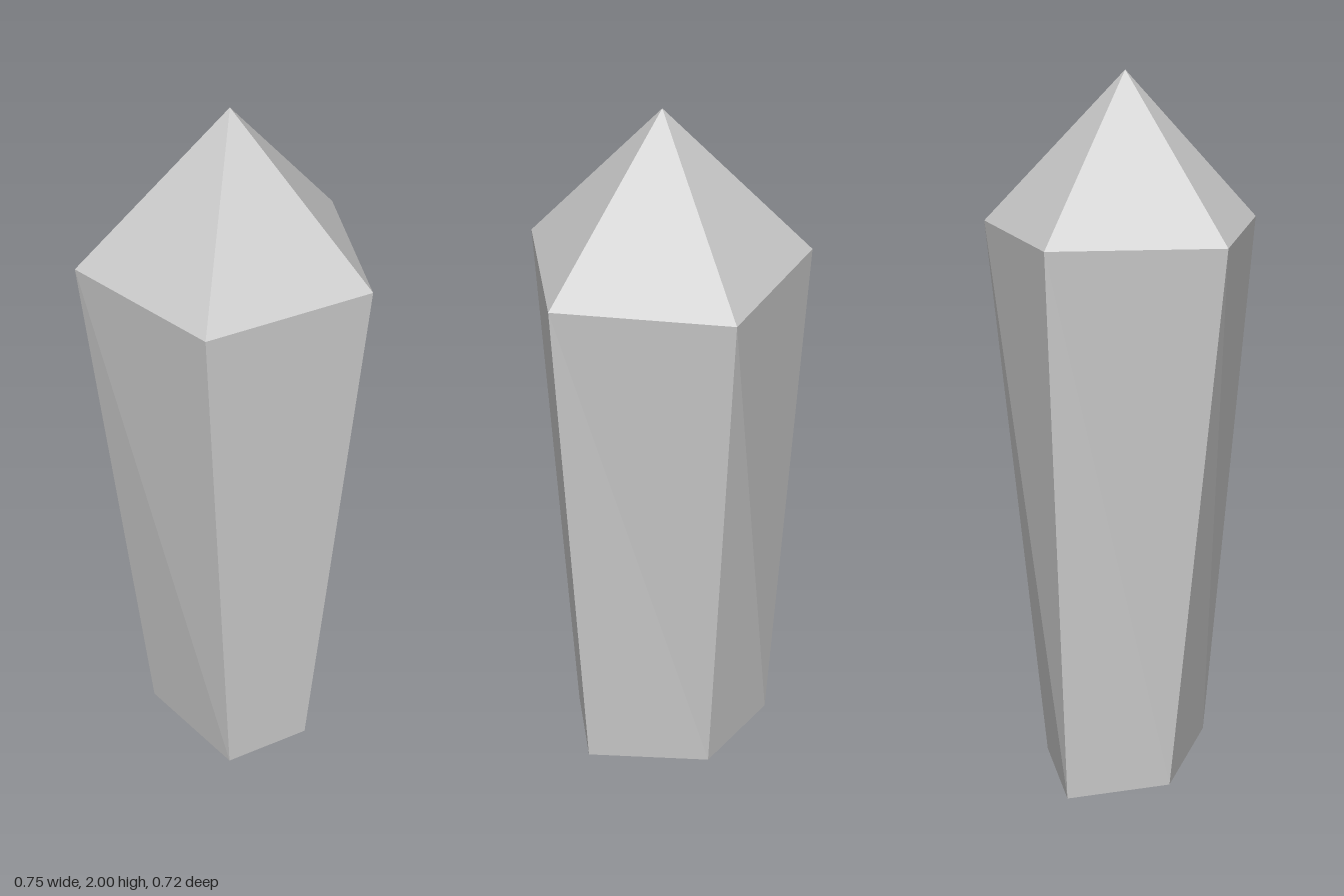
import * as THREE from 'three';

const SIDES = 5;
const CENTRE_Z = 0.036;

// Five-sided shell revolved from a bottom-to-top profile, one corner pointing to -z
function facetedShell(name, profile) {
  const points = profile.map(([r, y]) => new THREE.Vector2(r, y));
  const lathe = new THREE.LatheGeometry(points, SIDES, Math.PI);
  // The foot is deeper than it is wide
  const pos = lathe.attributes.position;
  for (let i = 0; i < pos.count; i++) {
    if (pos.getY(i) < 0.01) pos.setZ(i, pos.getZ(i) * 1.43);
  }
  lathe.translate(0, 0, CENTRE_Z);
  const geometry = lathe.toNonIndexed();
  geometry.computeVertexNormals();
  const material = new THREE.MeshStandardMaterial({ color: 0xcccccc, flatShading: true });
  const mesh = new THREE.Mesh(geometry, material);
  mesh.name = name;
  return mesh;
}

export function createModel() {
  const crystal = new THREE.Group();
  crystal.name = 'crystal';
  // Closed base and tapering shaft
  crystal.add(facetedShell('shaft', [[0, 0], [0.22, 0], [0.396, 1.585]]));
  // Pointed tip
  crystal.add(facetedShell('tip', [[0.396, 1.585], [0, 2]]));
  return crystal;
}
